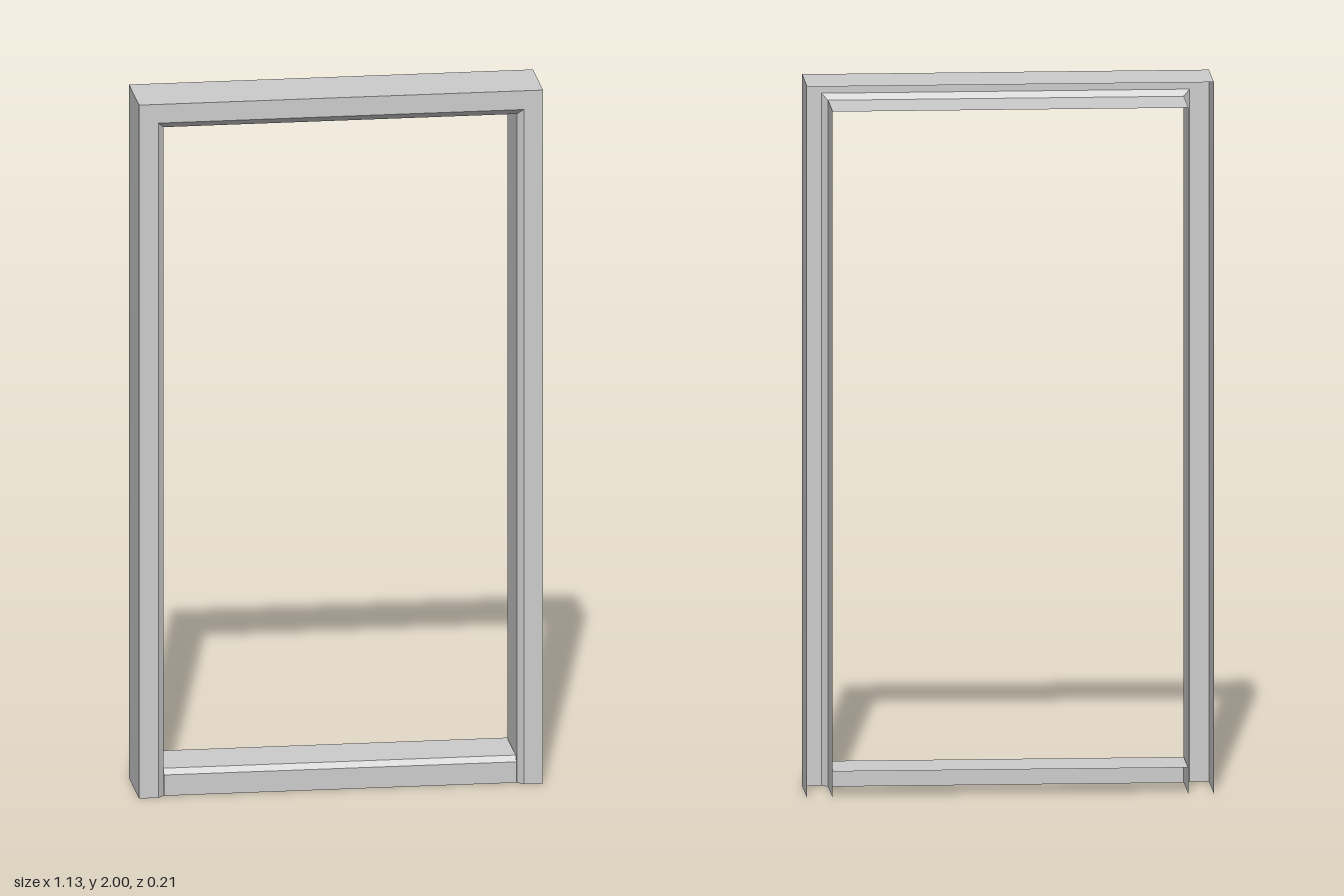
import * as THREE from 'three';

const W = 0.565, H = 2, D = 0.104;

// Folded sheet section as [inset from outer edge, z]: outer side, front face, chamfer, reveal
const casing = [[0, -D], [0, D], [0.054, D], [0.071, D - 0.017], [0.071, -D]];

// Sill section as [y, z]: front face, chamfer, top
const sillSection = [[0, 0.086], [0.06, 0.086], [0.075, 0.07], [0.075, -0.106]];

const material = new THREE.MeshStandardMaterial({
  color: 0xcccccc, flatShading: true, side: THREE.DoubleSide,
});

// Thin folded sheet joining two matching rows of corner points
function sheet(name, rowA, rowB) {
  const pos = [];
  for (let i = 0; i < rowA.length - 1; i++) {
    const [a, b, c, d] = [rowA[i], rowB[i], rowB[i + 1], rowA[i + 1]];
    pos.push(...a, ...b, ...c, ...a, ...c, ...d);
  }
  const geometry = new THREE.BufferGeometry();
  geometry.setAttribute('position', new THREE.Float32BufferAttribute(pos, 3));
  geometry.computeVertexNormals();
  const mesh = new THREE.Mesh(geometry, material);
  mesh.name = name;
  return mesh;
}

export function createModel() {
  const group = new THREE.Group();
  group.name = 'doorFrame';

  // Casing section placed at the four stations: foot, mitre, mitre, foot
  const foot = (s) => casing.map(([d, z]) => [s * (W - d), 0, z]);
  const mitre = (s) => casing.map(([d, z]) => [s * (W - d), H - d, z]);

  group.add(sheet('rightJamb', mitre(-1), foot(-1)));
  group.add(sheet('header', mitre(1), mitre(-1)));
  group.add(sheet('leftJamb', foot(1), mitre(1)));

  // Sill between the jambs
  const sillEnd = (x) => sillSection.map(([y, z]) => [x, y, z]);
  const x = W - 0.072;
  group.add(sheet('sill', sillEnd(-x), sillEnd(x)));

  return group;
}
